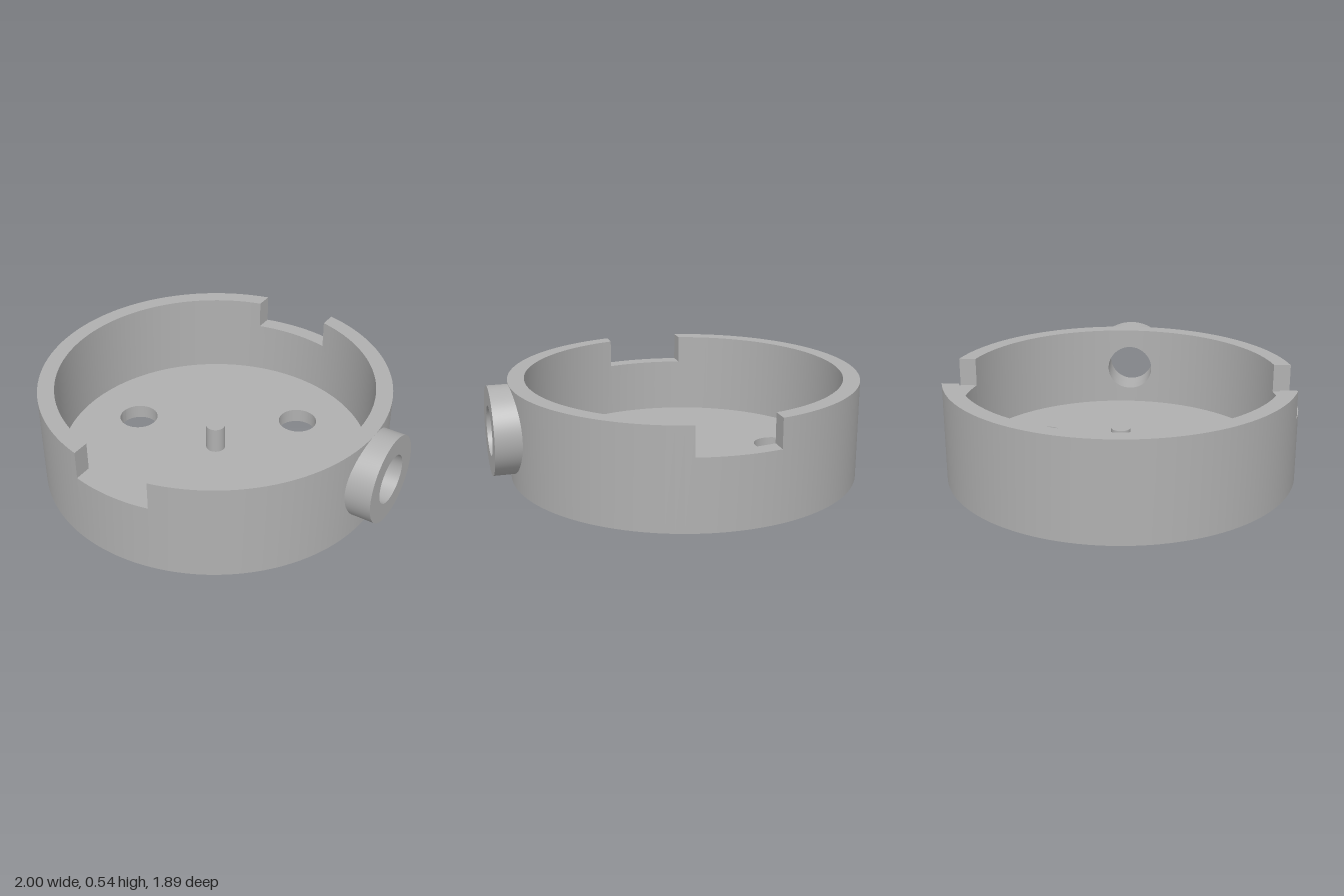
import * as THREE from 'three';
import { toCreasedNormals } from 'three/addons/utils/BufferGeometryUtils.js';

const RO = 0.945, RI = 0.856, TOP = 0.535, NOTCH_Y = 0.38, NOTCH_X = 0.215;
const FLOOR = 0.08, BORE_Y = 0.298, BORE_R = 0.132, COLLAR_R = 0.237, COLLAR_X = 1.055;

// Stations around the wall: outer angle, inner angle, half height of the bore gap
function wallStations() {
  const list = [];
  const add = (o, i, gap = 0, notch = false) => list.push({ o, i, gap, notch });
  const sweep = (o0, o1, i0, i1, n) => {
    for (let k = 0; k < n; k++) add(o0 + (o1 - o0) * k / n, i0 + (i1 - i0) * k / n);
  };
  const bo = Math.asin(BORE_R / RO), bi = Math.asin(BORE_R / RI);
  const no = Math.acos(NOTCH_X / RO), ni = Math.acos(NOTCH_X / RI);
  const notch = (start) => {
    const N = 10;
    for (let k = 0; k < N; k++) {
      const x = NOTCH_X * (1 - 2 * k / N);
      add(start + Math.acos(x / RO), start + Math.acos(x / RI), 0, true);
    }
  };
  // bore on the +x side
  for (let k = 0; k < 32; k++) {
    const t = -Math.PI / 2 + Math.PI * k / 32, z = BORE_R * Math.sin(t);
    add(Math.asin(z / RO), Math.asin(z / RI), k ? BORE_R * Math.cos(t) : 0);
  }
  const P = Math.PI;
  sweep(bo, no, bi, ni, 24);
  notch(0);
  sweep(P - no, P + no, P - ni, P + ni, 52);
  notch(P);
  sweep(2 * P - no, 2 * P - bo, 2 * P - ni, 2 * P - bi, 24);
  return list;
}

function wallGeometry() {
  const pos = [];
  const quad = (a, b, c, d) => pos.push(...a, ...b, ...c, ...a, ...c, ...d);
  const O = (s, y) => [RO * Math.cos(s.o), y, RO * Math.sin(s.o)];
  const I = (s, y) => [RI * Math.cos(s.i), y, RI * Math.sin(s.i)];
  // one block of wall between two stations
  const block = (c, n, lc, ln, hc, hn) => {
    quad(O(n, ln), O(c, lc), O(c, hc), O(n, hn));
    quad(I(c, lc), I(n, ln), I(n, hn), I(c, hc));
    quad(O(c, hc), I(c, hc), I(n, hn), O(n, hn));
    quad(O(n, ln), I(n, ln), I(c, lc), O(c, lc));
  };
  const st = wallStations();
  st.forEach((c, k) => {
    const n = st[(k + 1) % st.length], prev = st[(k + st.length - 1) % st.length];
    const top = c.notch ? NOTCH_Y : TOP;
    if (c.gap || n.gap) {
      block(c, n, 0, 0, BORE_Y - c.gap, BORE_Y - n.gap);
      block(c, n, BORE_Y + c.gap, BORE_Y + n.gap, top, top);
    } else block(c, n, 0, 0, top, top);
    // upright ends of each notch
    if (c.notch && !prev.notch) quad(I(c, NOTCH_Y), O(c, NOTCH_Y), O(c, TOP), I(c, TOP));
    if (!c.notch && prev.notch) quad(O(c, NOTCH_Y), I(c, NOTCH_Y), I(c, TOP), O(c, TOP));
  });
  const g = new THREE.BufferGeometry();
  g.setAttribute('position', new THREE.Float32BufferAttribute(pos, 3));
  return toCreasedNormals(g, 0.6);
}

// Floor disc with three through holes
function floorGeometry() {
  const disc = new THREE.Shape().absarc(0, 0, RI, 0, Math.PI * 2, false);
  for (let k = 0; k < 3; k++) {
    const a = Math.PI / 3 + k * Math.PI * 2 / 3;
    disc.holes.push(new THREE.Path().absarc(0.533 * Math.cos(a), 0.533 * Math.sin(a), 0.108, 0, Math.PI * 2, true));
  }
  const g = new THREE.ExtrudeGeometry(disc, { depth: FLOOR, bevelEnabled: false, curveSegments: 72 });
  return toCreasedNormals(g.rotateX(-Math.PI / 2), 0.6);
}

export function createModel() {
  const grey = new THREE.MeshStandardMaterial({ color: 0xb0b0b0 });
  grey.name = 'grey';
  const model = new THREE.Group();
  model.name = 'roundHousing';
  const add = (name, geometry, y = 0) => {
    const m = new THREE.Mesh(geometry, grey);
    m.name = name;
    m.position.set(-0.055, y, 0);
    model.add(m);
  };

  add('wall', wallGeometry());
  add('floor', floorGeometry());

  // side collar around the bore
  const profile = [[COLLAR_R, 0.9], [COLLAR_R, COLLAR_X], [BORE_R, COLLAR_X], [BORE_R, 0.935]];
  const collar = new THREE.LatheGeometry(profile.map(([r, y]) => new THREE.Vector2(r, y)), 64);
  add('collar', toCreasedNormals(collar.rotateZ(-Math.PI / 2), 0.6), BORE_Y);

  // centre peg
  const pegH = 0.228 - FLOOR;
  add('centrePeg', new THREE.CylinderGeometry(0.053, 0.053, pegH, 40), FLOOR + pegH / 2);
  return model;
}
